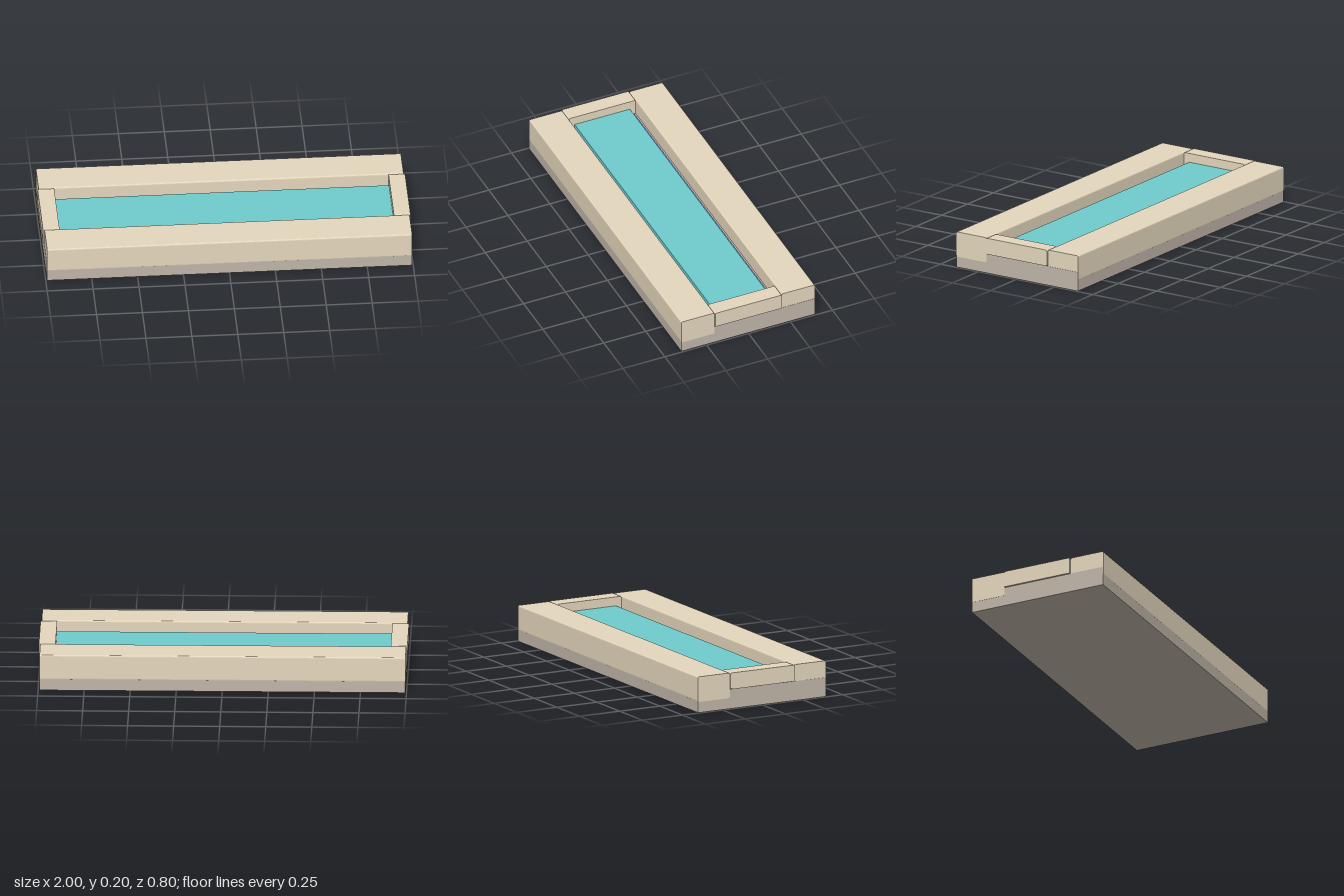
import * as THREE from 'three';

const material = (name, color) => {
  const m = new THREE.MeshStandardMaterial({ color });
  m.name = name;
  return m;
};

// Bar running along x, with a softened rectangular section in z and y
function bar(x0, x1, y0, y1, z0, z1, r) {
  const s = new THREE.Shape();
  const a = -z1, b = -z0;
  s.moveTo(a + r, y0);
  s.lineTo(b - r, y0);
  s.quadraticCurveTo(b, y0, b, y0 + r);
  s.lineTo(b, y1 - r);
  s.quadraticCurveTo(b, y1, b - r, y1);
  s.lineTo(a + r, y1);
  s.quadraticCurveTo(a, y1, a, y1 - r);
  s.lineTo(a, y0 + r);
  s.quadraticCurveTo(a, y0, a + r, y0);
  const g = new THREE.ExtrudeGeometry(s, { depth: x1 - x0, bevelEnabled: false, curveSegments: 3 });
  return g.rotateY(Math.PI / 2).translate(x0, 0, 0);
}

export function createModel() {
  const model = new THREE.Group();
  const stone = material('sandstone', 0xe5d7bd);
  const concrete = material('concrete', 0xc0b5a9);
  const water = material('water', 0x70cccd);
  const lining = material('blue lining', 0x6681c8);

  const add = (name, geometry, mat) => {
    const mesh = new THREE.Mesh(geometry, mat);
    mesh.name = name;
    model.add(mesh);
    return mesh;
  };
  const box = (name, w, h, d, y, mat) =>
    add(name, new THREE.BoxGeometry(w, h, d).translate(0, y + h / 2, 0), mat);

  // Solid base, with the basin lining and the raised water on top of it
  box('base', 1.986, 0.107, 0.796, 0, concrete);
  box('basinLining', 1.82, 0.007, 0.38, 0.107, lining);
  box('water', 1.82, 0.036, 0.33, 0.114, water);

  // Coping stones: the second half repeats the first, turned half round
  for (const turn of [0, Math.PI]) {
    const side = add('longCoping', bar(-0.992, 0.994, 0.06, 0.2, 0.201, 0.399, 0.008), stone);
    const end = add('endCoping', bar(0.91, 1, 0.109, 0.2, -0.199, 0.199, 0.008), stone);
    side.rotation.y = end.rotation.y = turn;
  }
  return model;
}
